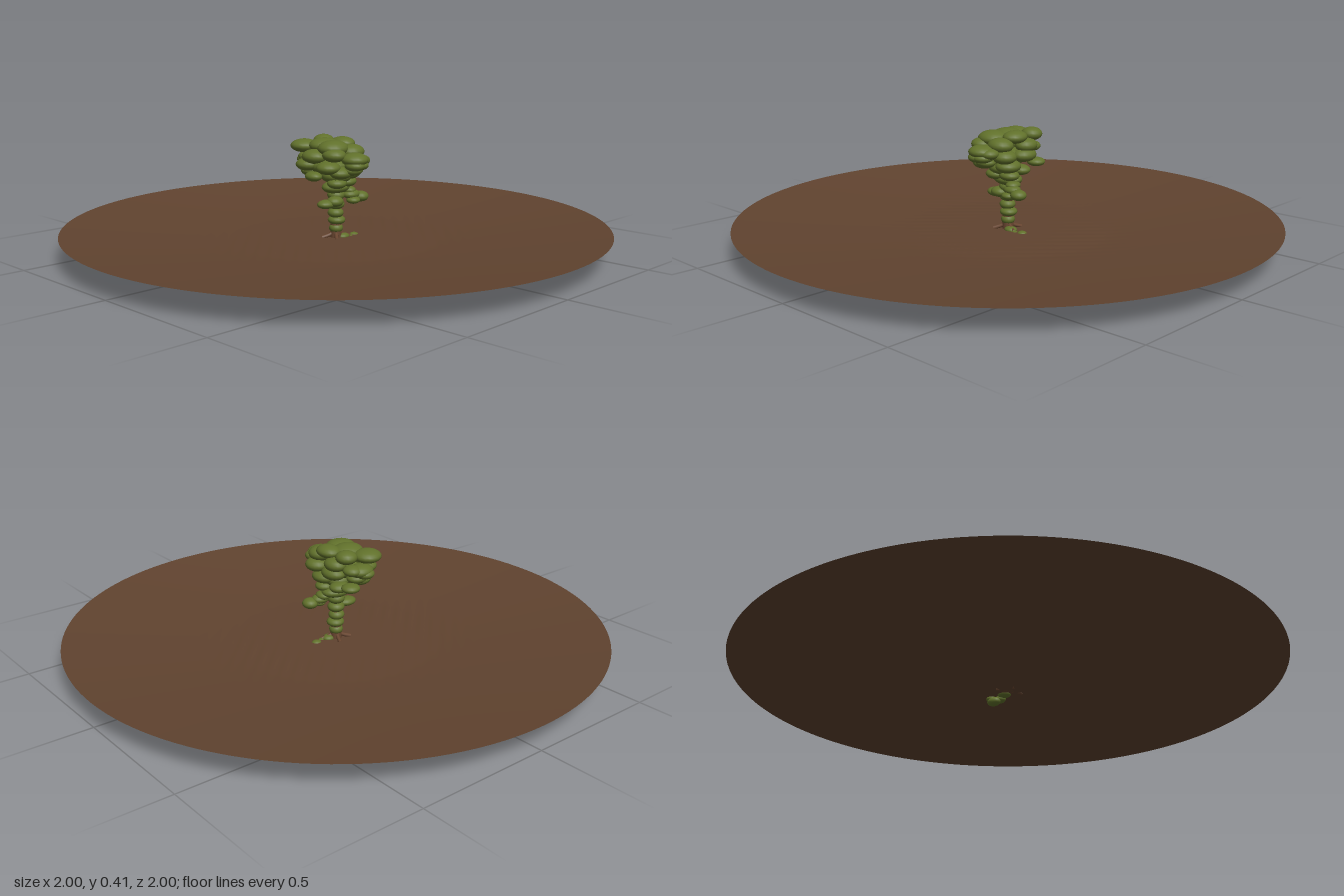
import * as THREE from 'three';
import { mergeVertices } from 'three/addons/utils/BufferGeometryUtils.js';

// Foliage lumps: [x, y, z, radiusX, radiusZ, radiusY]
const crownTop = [
  [-0.06, 0.375, -0.105, 0.052, 0.052, 0.025], [0.03, 0.385, -0.095, 0.04, 0.04, 0.025],
  [-0.03, 0.38, -0.03, 0.06, 0.055, 0.028], [-0.045, 0.375, 0.03, 0.06, 0.055, 0.03],
  [0.035, 0.385, 0.0, 0.042, 0.05, 0.024], [0.02, 0.36, 0.06, 0.05, 0.045, 0.028],
  [-0.02, 0.34, 0.115, 0.05, 0.05, 0.025], [-0.07, 0.355, 0.06, 0.042, 0.045, 0.025],
  [-0.09, 0.345, -0.02, 0.045, 0.05, 0.027], [0.045, 0.35, -0.05, 0.038, 0.045, 0.026],
];
const crownMiddle = [
  [-0.09, 0.31, 0.05, 0.045, 0.045, 0.024], [-0.095, 0.315, -0.05, 0.045, 0.045, 0.024],
  [-0.115, 0.277, 0.0, 0.028, 0.035, 0.018], [0.04, 0.32, 0.06, 0.045, 0.045, 0.026],
  [-0.02, 0.33, -0.115, 0.05, 0.042, 0.024], [0.03, 0.275, -0.12, 0.035, 0.034, 0.017],
  [-0.01, 0.32, 0.12, 0.04, 0.04, 0.02], [0.045, 0.315, -0.04, 0.04, 0.05, 0.026],
  [-0.03, 0.31, 0.0, 0.08, 0.075, 0.035], [-0.05, 0.29, 0.075, 0.045, 0.038, 0.022],
  [-0.045, 0.285, -0.08, 0.045, 0.04, 0.023], [0.03, 0.28, 0.03, 0.045, 0.05, 0.025],
];
const crownBottom = [
  [-0.01, 0.27, 0.01, 0.055, 0.06, 0.03], [0.02, 0.255, -0.045, 0.04, 0.035, 0.02],
  [-0.03, 0.245, 0.035, 0.038, 0.035, 0.02], [0.03, 0.245, 0.025, 0.04, 0.035, 0.02],
  [0.0, 0.225, 0.0, 0.06, 0.045, 0.024], [0.045, 0.21, 0.02, 0.026, 0.03, 0.016],
];
const sideBranches = [
  [-0.055, 0.167, 0.005, 0.038, 0.03, 0.017], [-0.025, 0.175, 0.02, 0.034, 0.03, 0.02],
  [0.05, 0.195, 0.03, 0.036, 0.028, 0.018], [0.09, 0.183, 0.04, 0.03, 0.03, 0.02],
  [0.045, 0.175, 0.045, 0.026, 0.026, 0.014],
];
const trunkLumps = [
  [0, 0.195, 0, 0.033, 0.033, 0.022], [0, 0.16, 0, 0.032, 0.032, 0.02],
  [-0.002, 0.128, 0, 0.03, 0.03, 0.02], [0.003, 0.1, 0, 0.033, 0.033, 0.018],
  [0, 0.07, 0, 0.026, 0.026, 0.02],
];
const baseLumps = [
  [0.025, 0.036, 0.012, 0.026, 0.022, 0.013], [0.05, 0.024, 0.02, 0.024, 0.018, 0.014],
  [0.068, 0.016, 0.008, 0.028, 0.02, 0.016], [0.083, 0.03, 0.012, 0.02, 0.018, 0.012],
];

export function createModel() {
  const soil = new THREE.MeshStandardMaterial({ color: 0x60432f, side: THREE.DoubleSide });
  soil.name = 'soil';
  const leaf = new THREE.MeshStandardMaterial({ color: 0x61712b });
  leaf.name = 'leaf green';
  const bark = new THREE.MeshStandardMaterial({ color: 0x694630 });
  bark.name = 'bark';

  const model = new THREE.Group();

  // Shallow dish of earth, with faint ripples around the middle
  const profile = [];
  for (let i = 70; i >= 0; i--) {
    const r = i / 70;
    const t = Math.max(0, (r - 0.38) / 0.62);
    profile.push(new THREE.Vector2(r, 0.035 + 0.052 * Math.pow(t, 1.2)));
  }
  let dish = new THREE.LatheGeometry(profile, 144);
  const pos = dish.attributes.position;
  for (let i = 0; i < pos.count; i++) {
    const x = pos.getX(i), z = pos.getZ(i), r = Math.hypot(x, z);
    const fade = Math.max(0, 1 - Math.abs(r - 0.33) / 0.2);
    pos.setY(i, pos.getY(i) + 0.0009 * fade * Math.sin(95 * (x + z)));
  }
  dish.deleteAttribute('uv');
  dish.deleteAttribute('normal');
  dish = mergeVertices(dish, 1e-5);
  dish.computeVertexNormals();
  const ground = new THREE.Mesh(dish, soil);
  ground.name = 'ground';
  model.add(ground);

  // Tree made of flattened round lumps
  const lump = new THREE.SphereGeometry(1, 18, 12);
  const addLumps = (name, list) => {
    const group = new THREE.Group();
    group.name = name;
    for (const [x, y, z, rx, rz, ry] of list) {
      const mesh = new THREE.Mesh(lump, leaf);
      mesh.name = name + 'Lump';
      mesh.position.set(x, y, z);
      mesh.scale.set(rx, ry, rz);
      group.add(mesh);
    }
    model.add(group);
  };
  addLumps('crownTop', crownTop);
  addLumps('crownMiddle', crownMiddle);
  addLumps('crownBottom', crownBottom);
  addLumps('sideBranch', sideBranches);
  addLumps('trunkFoliage', trunkLumps);
  addLumps('baseFoliage', baseLumps);

  // Outer leaves that ring the long ends of the crown
  addLumps('crownEnds', [-1, 1].flatMap((s) => [
    [-0.03, 0.32, s * 0.125, 0.036, 0.038, 0.02],
    [0.015, 0.335, s * 0.11, 0.034, 0.036, 0.02],
    [-0.015, 0.3, s * 0.1, 0.04, 0.035, 0.02],
  ]));

  // Trunk core and short roots
  const trunk = new THREE.Mesh(new THREE.CylinderGeometry(0.016, 0.022, 0.2, 12), bark);
  trunk.name = 'trunk';
  trunk.position.y = 0.135;
  model.add(trunk);
  for (const angle of [0.4, 2.3, 3.6, 5.1]) {
    const c = Math.cos(angle), s = Math.sin(angle);
    const path = new THREE.CatmullRomCurve3([
      new THREE.Vector3(0, 0.06, 0),
      new THREE.Vector3(c * 0.025, 0.045, s * 0.025),
      new THREE.Vector3(c * 0.055, 0.036, s * 0.055),
    ]);
    const root = new THREE.Mesh(new THREE.TubeGeometry(path, 8, 0.007, 8), bark);
    root.name = 'root';
    model.add(root);
  }
  return model;
}
